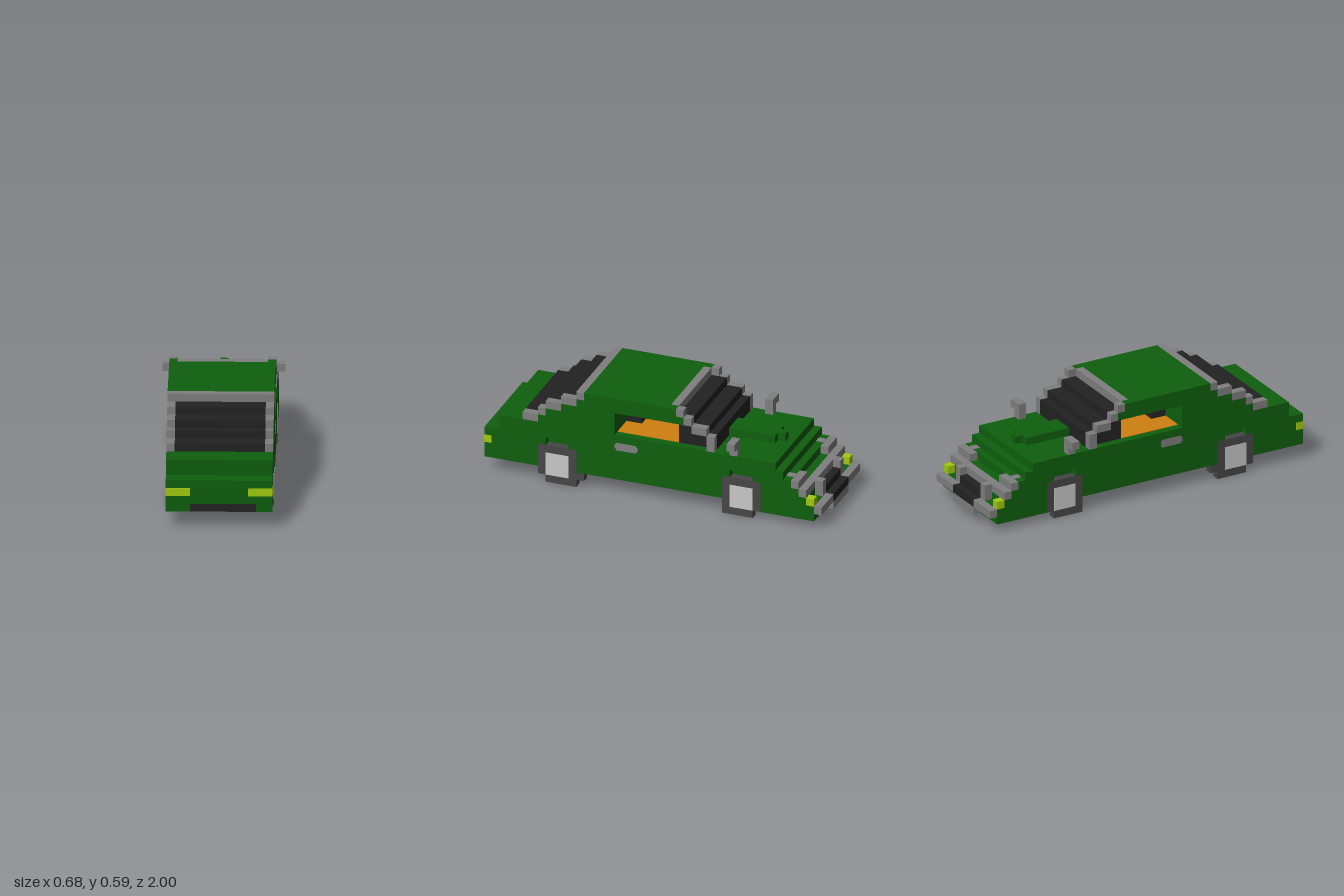
import * as THREE from 'three';

const U = 2 / 44; // one block
const mat = (name, color) => {
  const m = new THREE.MeshStandardMaterial({ color });
  m.name = name;
  return m;
};

export function createModel() {
  const green = mat('body green', 0x0e5f0e);
  const grey = mat('trim grey', 0x7f7f7f);
  const dark = mat('glass black', 0x222222);
  const rubber = mat('tyre grey', 0x464646);
  const silver = mat('hub silver', 0xc8c8c8);
  const yellow = mat('lamp yellow', 0xa2ca10);
  const orange = mat('interior orange', 0xd0800f);

  const car = new THREE.Group();
  car.name = 'blockCar';

  const add = (name, geometry, material) => {
    const mesh = new THREE.Mesh(geometry, material);
    mesh.name = name;
    car.add(mesh);
  };
  // Box given by its limits in blocks
  const box = (name, m, x0, x1, y0, y1, z0, z1) => {
    const g = new THREE.BoxGeometry((x1 - x0) * U, (y1 - y0) * U, (z1 - z0) * U);
    g.translate((x0 + x1) / 2 * U, (y0 + y1) / 2 * U, (z0 + z1) / 2 * U);
    add(name, g, m);
  };
  // The same box on both sides
  const pair = (name, m, x0, x1, ...rest) => {
    box(name + 'Left', m, x0, x1, ...rest);
    box(name + 'Right', m, -x1, -x0, ...rest);
  };
  // Side profile of [z, y] points, extruded between two x limits
  const slab = (name, m, points, x0, x1) => {
    const shape = new THREE.Shape(points.map(([z, y]) => new THREE.Vector2(z * U, y * U)));
    const g = new THREE.ExtrudeGeometry(shape, { depth: (x1 - x0) * U, bevelEnabled: false });
    g.rotateY(-Math.PI / 2);
    g.translate(x1 * U, 0, 0);
    add(name, g, m);
  };

  // Body shell: a core and two outer sides with wheel arches
  const tail = [[22, 2], [22, 6], [20, 6], [20, 8], [15, 8], [15, 9], [14, 9], [14, 10],
    [12, 10], [12, 11], [10, 11], [10, 12], [9, 12], [9, 13]];
  const nose = [[5, 11], [5, 8], [-16, 8], [-16, 7], [-17, 7], [-17, 6], [-18, 6], [-18, 5],
    [-19, 5], [-19, 4], [-20, 4], [-20, 3], [-21, 3], [-21, 1]];
  const arch = (z) => [[z - 2.5, 2], [z - 2.5, 5], [z - 1.5, 5], [z - 1.5, 6],
    [z + 1.5, 6], [z + 1.5, 5], [z + 2.5, 5], [z + 2.5, 2]];
  const core = [...tail, [-2, 13], [-2, 11], ...nose, [-20, 1], [-20, 2]];
  const side = [...tail, [-3, 13], [-3, 12], [-4, 12], [-4, 11], ...nose,
    [-14, 1], ...arch(-11.5).slice(1), ...arch(12.5)];
  slab('bodyCore', green, core, -5.5, 5.5);
  slab('bodySideLeft', green, side, 5.5, 6.5);
  slab('bodySideRight', green, side, -6.5, -5.5);

  // Sloped window at +z: stepped glass between stepped pillars
  for (const [z0, z1, y] of [[15, 17, 8], [14, 15, 9], [12, 14, 10], [10, 12, 11]]) {
    box('hatchGlass', dark, -5.5, 5.5, y, y + 1, z0, z1);
    pair('hatchPillar', grey, 5.5, 6.5, y, y + 1, z0, z1);
  }
  box('hatchHeader', grey, -6.5, 6.5, 12, 13, 9, 10);

  // Sloped window at -z
  slab('windshield', dark, [[-3, 8], [-3, 12], [-5, 12], [-5, 11], [-7, 11], [-7, 10],
    [-8, 10], [-8, 8]], -5.5, 5.5);
  box('windshieldHeader', grey, -5.5, 5.5, 12, 13, -3, -2);
  for (const [z0, z1, y0, y1] of [[-4, -3, 12, 13], [-5, -4, 11, 12], [-7, -5, 10, 11], [-8, -7, 8, 10]]) {
    pair('windshieldPillar', grey, 5.5, 6.5, y0, y1, z0, z1);
  }

  // Cabin
  box('cabinFloor', orange, -5.5, 5.5, 8, 8.06, -3, 5);
  box('seat', dark, -2.5, 2.5, 8, 9, 3, 5);

  // Bonnet scoop, mirrors and door handles
  box('scoop', green, -1.5, 1.5, 8, 9, -14, -8);
  box('scoopTip', green, -0.5, 0.5, 8, 9, -15, -14);
  pair('mirrorStem', grey, 5.5, 6.5, 8, 9, -11, -10);
  pair('mirror', grey, 5.5, 7.5, 9, 10, -11, -10);
  pair('doorHandle', grey, 6.45, 6.55, 6, 7, 2.2, 4.8);
  pair('doorHandleMiddle', grey, 6.45, 6.55, 6.2, 6.8, 2, 5);

  // Lamps and lower vent on the +z face
  pair('frontLamp', yellow, 3.5, 6.53, 4, 5, 21.05, 22.05);
  box('lowerVent', dark, -3.5, 4.5, 2.02, 3, 21.95, 22.05);

  // Grille, bumper, lamps and brows at the -z end
  box('grilleLower', dark, -2.5, 2.5, 2, 3, -22, -21);
  box('grilleUpper', dark, -2.5, 2.5, 3, 4, -21, -20);
  box('grilleTopBar', grey, -2.5, 2.5, 4, 5, -20, -19);
  box('bumperMiddle', grey, -2.5, 2.5, 1, 2, -22, -21);
  pair('bumper', grey, 2.5, 6.5, 2, 3, -22, -21);
  pair('grillePost', grey, 2.5, 3.5, 3, 5, -21, -20);
  pair('tailLamp', yellow, 5.5, 6.5, 3, 4, -21, -20);
  pair('lampBrow', grey, 2.5, 6.5, 4, 5, -20, -19);
  pair('lampBrowUpper', grey, 3.5, 6.5, 5, 6, -19, -18);
  pair('lampBrowTip', grey, 4.5, 5.5, 5.5, 6.05, -18, -17);

  // Wheels
  for (const [z, shift] of [[12.5, -0.5], [-11.5, 0.5]]) {
    pair('tyre', rubber, 5.5, 6.5, 1, 4, z - 2.5, z + 2.5);
    pair('tyreTop', rubber, 5.5, 6.5, 4, 5, z - 2.5, z + 2.5);
    pair('tyreBottom', rubber, 5.5, 6.5, 0, 1, z + shift - 2, z + shift + 2);
    pair('hub', silver, 5.45, 6.55, 1, 4, z - 1.5, z + 1.5);
  }
  pair('tyreEdge', rubber, 5.5, 6.5, 1, 2, 9, 10);

  return car;
}
